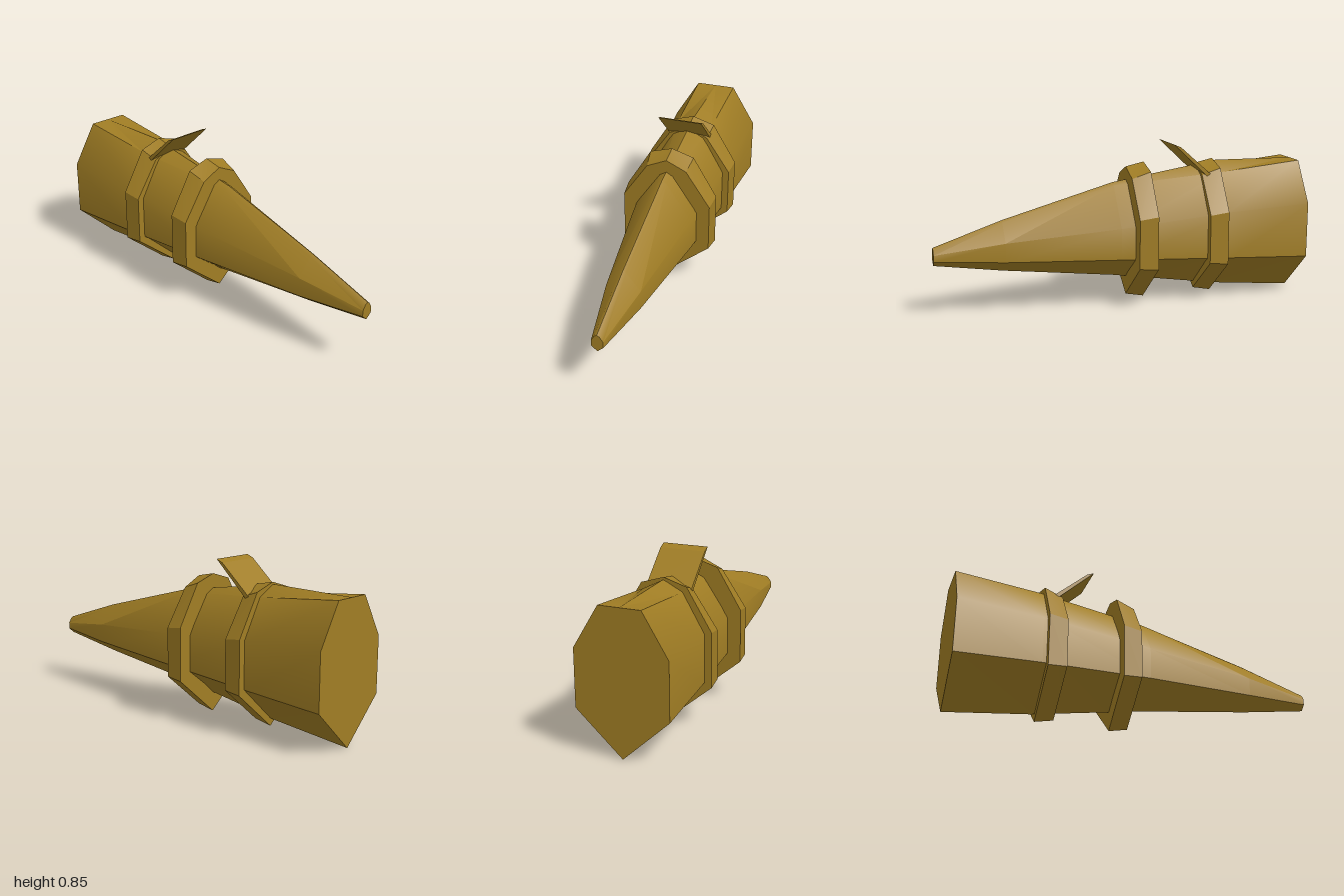
import * as THREE from 'three';
import { toCreasedNormals } from 'three/addons/utils/BufferGeometryUtils.js';

// Section: z, bottom y, side half-width, lower and upper side y, shoulder x and y, top y
function ring([z, yb, w, yl, yu, sx, sy, yt]) {
  return [[0, yb], [w, yl], [w, yu], [sx, sy], [0, yt], [-sx, sy], [-w, yu], [-w, yl]]
    .map(([x, y]) => [x, y, z]);
}

// Closed skin through sections listed from front to back
function loft(sections, crease) {
  const rings = sections.map(ring);
  const n = rings[0].length;
  const pos = [];
  const tri = (a, b, c) => pos.push(...a, ...b, ...c);
  for (let i = 0; i < rings.length - 1; i++) {
    for (let j = 0; j < n; j++) {
      const k = (j + 1) % n;
      const a = rings[i][j], b = rings[i][k], c = rings[i + 1][j], d = rings[i + 1][k];
      if (j < n / 2) {
        tri(a, c, d);
        tri(a, d, b);
      } else {
        tri(a, c, b);
        tri(b, c, d);
      }
    }
  }
  const first = rings[0], last = rings[rings.length - 1];
  for (let j = 1; j < n - 1; j++) {
    tri(first[0], first[j], first[j + 1]);
    tri(last[0], last[j + 1], last[j]);
  }
  const geo = new THREE.BufferGeometry();
  geo.setAttribute('position', new THREE.Float32BufferAttribute(pos, 3));
  return toCreasedNormals(geo, crease);
}

export function createModel() {
  const model = new THREE.Group();
  const bronze = new THREE.MeshStandardMaterial({ color: 0xa07d24 });
  bronze.name = 'bronze';
  const add = (name, geo) => {
    const mesh = new THREE.Mesh(geo, bronze);
    mesh.name = name;
    model.add(mesh);
  };

  // Tapering body with a keel below and a ridge above
  add('body', loft([
    [1, 0.275, 0.03, 0.302, 0.335, 0.013, 0.362, 0.37],
    [0.64, 0.22, 0.09, 0.285, 0.385, 0.015, 0.478, 0.49],
    [0.04, 0.145, 0.163, 0.268, 0.435, 0.025, 0.64, 0.655],
    [-0.55, 0.05, 0.215, 0.245, 0.495, 0.1, 0.695, 0.746],
    [-1, 0.003, 0.24, 0.225, 0.52, 0.108, 0.738, 0.738],
  ], 0.65));

  // Two flared bands around the body
  [['frontBand', -0.035], ['rearBand', -0.43]].forEach(([name, z]) => add(name, loft([
    [z, 0.032, 0.24, 0.23, 0.49, 0.108, 0.686, 0.736],
    [z - 0.1, 0.012, 0.25, 0.222, 0.504, 0.12, 0.72, 0.757],
  ], 0.3)));

  // Slanted sight plate, its side profile extruded across the body
  const profile = new THREE.Shape(
    [[0.265, 0.858], [0.303, 0.842], [0.475, 0.69], [0.458, 0.676]]
      .map(([back, y]) => new THREE.Vector2(back, y)));
  const plate = new THREE.ExtrudeGeometry(profile, { depth: 0.24, bevelEnabled: false });
  plate.rotateY(Math.PI / 2).translate(-0.12, 0, 0);
  add('sightPlate', plate);

  return model;
}
